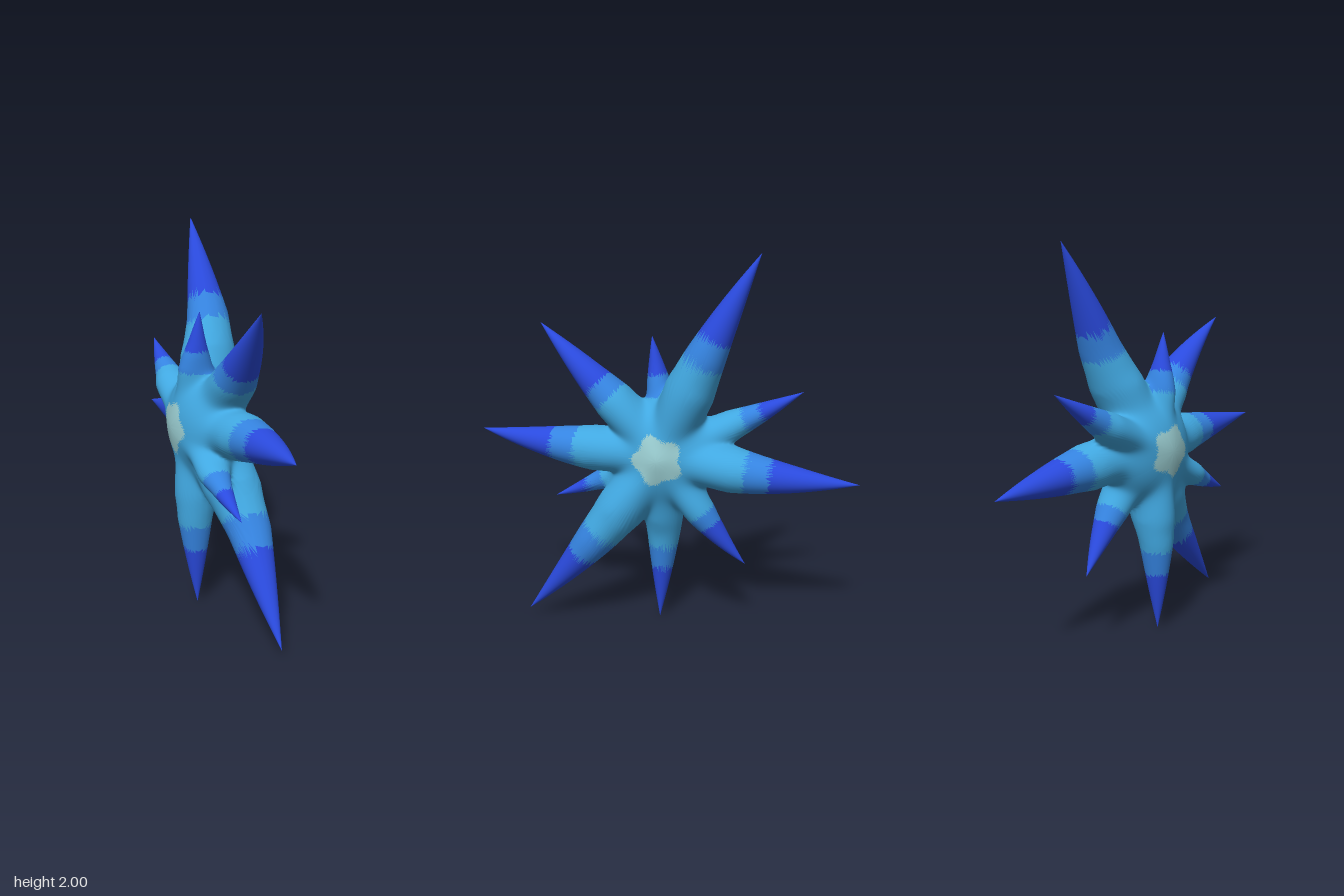
import * as THREE from 'three';
import { mergeVertices } from 'three/addons/utils/BufferGeometryUtils.js';

const CY = 0.98; // height of the star's centre
// Spikes in order around the star: tip x, y, z, thickness, bulge in x,
// bow within the star's plane, extra root depth, tip and band colour starts
const spikes = [
  [0.01, 1.05, 0.995, 0.98, 0.042, -0.012, 0.15, 0.58, 0.45],
  [0.00, 1.63, 0.65, 0.9, 0.045, 0.012, 0.3, 0.53, 0.43],
  [-0.07, 1.57, 0.08, 0.72, -0.008, 0, 0.8, 0.67, 0.49],
  [0.09, 2.00, -0.485, 1.02, 0, -0.02, 0.35, 0.59, 0.47],
  [-0.06, 1.32, -0.695, 0.76, -0.01, 0.018, 0.8, 0.7, 0.58],
  [0.01, 0.88, -0.995, 0.98, 0.042, 0.018, 0.15, 0.56, 0.44],
  [0.00, 0.395, -0.435, 0.78, 0.035, 0.018, 0.35, 0.61, 0.5],
  [-0.07, 0.00, 0.04, 0.87, -0.005, 0, 0.6, 0.68, 0.55],
  [0.09, 0.05, 0.745, 1.02, 0, -0.02, 0.35, 0.59, 0.45],
  [-0.07, 0.67, 0.625, 0.66, -0.01, -0.02, 0.8, 0.71, 0.56],
].map(([x, y, z, k, bulge, bow, rootDepth, tipStart, bandStart]) => {
  const len = Math.hypot(y - CY, z);
  return { x, k, bulge, bow, rootDepth, tipStart, bandStart, len,
    cz: z / len, cy: (y - CY) / len, angle: Math.atan2(y - CY, z) };
});

// Distance to one spike: a tapered, slightly bent oval cone, deeper in x near its root
function spikeDistance(s, x, y, z) {
  const r = z * s.cz + y * s.cy;
  const along = Math.max(r, 0);
  const q = along / s.len;
  const u = 1 - q;
  const arch = 4 * q * u;
  const t = y * s.cz - z * s.cy - s.bow * arch;
  const root = 0.55 + 0.45 * Math.min(1, along / 0.37);
  const h = 0.2 * s.k * u * (1.2 - 0.4 * u) * root;
  const depth = 1.08 + s.rootDepth * Math.max(0, 1 - along / 0.45);
  const axisX = s.x * Math.min(1, q / 0.5) + s.bulge * arch;
  return Math.hypot(t, (x - axisX) / depth, Math.min(r, 0)) - h;
}

// Smoothly blended distance to the core and all spikes, about the centre
const BLEND = 0.016;
function field(x, y, z) {
  const core = (Math.hypot((x + 0.014) / 0.182, y / 0.27, z / 0.27) - 1) * 0.2;
  let sum = Math.exp(-core / BLEND);
  for (const s of spikes) sum += Math.exp(-spikeDistance(s, x, y, z) / BLEND);
  return -BLEND * Math.log(sum);
}

// Surface point in a direction from the centre
function surfacePoint(dir) {
  const at = (r) => field(dir.x * r, dir.y * r, dir.z * r);
  let hi = 1.2;
  while (hi > 0.05 && at(hi - 0.01) > 0) hi -= 0.01;
  let lo = hi - 0.01;
  for (let i = 0; i < 10; i++) {
    const mid = (lo + hi) / 2;
    if (at(mid) > 0) hi = mid; else lo = mid;
  }
  return dir.clone().multiplyScalar(lo);
}

const direction = (angle, lat) => new THREE.Vector3(
  Math.sin(lat), Math.cos(lat) * Math.sin(angle), Math.cos(lat) * Math.cos(angle));

// Colour slot of a surface point: 0 body, 1 band, 2 tip, 3 centre patch
function colourAt(p) {
  const theta = Math.atan2(p.y, p.z);
  const patch = 0.122 + 0.014 * Math.cos(5 * theta + 0.3);
  if (Math.hypot(p.y, p.z) < patch && Math.abs(p.x) > 0.08) return 3;
  let nearest = spikes[0], best = Infinity;
  for (const s of spikes) {
    const d = spikeDistance(s, p.x, p.y, p.z);
    if (d < best) { best = d; nearest = s; }
  }
  const q = (p.z * nearest.cz + p.y * nearest.cy) / nearest.len;
  return q > nearest.tipStart ? 2 : q > nearest.bandStart ? 1 : 0;
}

function createStarGeometry() {
  const ROWS = 40, SIDE = 28;
  const buckets = [[], [], [], []];
  const ab = new THREE.Vector3(), ac = new THREE.Vector3(), mid = new THREE.Vector3();

  const addTriangle = (a, b, c) => {
    ab.subVectors(b, a);
    ac.subVectors(c, a);
    mid.copy(a).add(b).add(c).divideScalar(3);
    const normal = ab.cross(ac);
    if (normal.lengthSq() < 1e-16) return;
    const bucket = buckets[colourAt(mid)];
    const order = normal.dot(mid) > 0 ? [a, b, c] : [a, c, b];
    for (const p of order) bucket.push(p.x, p.y, p.z);
  };

  spikes.forEach((s, i) => {
    // Sector edges halfway to the neighbouring spikes
    const n = spikes.length;
    const gap = (o) => {
      const d = o.angle - s.angle;
      return Math.atan2(Math.sin(d), Math.cos(d));
    };
    const edgeA = s.angle + gap(spikes[(i + 1) % n]) / 2;
    const edgeB = s.angle + gap(spikes[(i + n - 1) % n]) / 2;
    const rim = [];
    for (let j = 0; j < SIDE; j++) rim.push(direction(edgeA, Math.PI * (0.5 - j / SIDE)));
    for (let j = 0; j < SIDE; j++) rim.push(direction(edgeB, Math.PI * (-0.5 + j / SIDE)));

    // Rows run from the tip out to the sector's rim
    const tip = new THREE.Vector3(s.x, s.cy * s.len, s.cz * s.len);
    const axis = tip.clone().normalize();
    const rows = [];
    for (let r = 0; r <= ROWS; r++) {
      const t = Math.pow(r / ROWS, 1.5);
      rows.push(rim.map((edge) => r === 0 ? tip
        : surfacePoint(axis.clone().lerp(edge, t).normalize())));
    }
    for (let r = 0; r < ROWS; r++) {
      for (let j = 0; j < rim.length; j++) {
        const k = (j + 1) % rim.length;
        addTriangle(rows[r][j], rows[r + 1][j], rows[r + 1][k]);
        addTriangle(rows[r][j], rows[r + 1][k], rows[r][k]);
      }
    }
  });

  let geometry = new THREE.BufferGeometry();
  geometry.setAttribute('position', new THREE.Float32BufferAttribute(buckets.flat(), 3));
  geometry = mergeVertices(geometry, 1e-4);
  let start = 0;
  buckets.forEach((b, i) => {
    geometry.addGroup(start, b.length / 3, i);
    start += b.length / 3;
  });
  geometry.computeVertexNormals();
  return geometry;
}

export function createModel() {
  const material = (name, color) => {
    const m = new THREE.MeshStandardMaterial({ color });
    m.name = name;
    return m;
  };
  const materials = [
    material('sky blue body', 0x41a8e1),
    material('mid blue band', 0x3584e1),
    material('deep blue tip', 0x2a4ade),
    material('pale centre', 0x9cd0d4),
  ];
  const star = new THREE.Mesh(createStarGeometry(), materials);
  star.name = 'spikyStar';
  star.position.y = CY;
  const group = new THREE.Group();
  group.name = 'star';
  group.add(star);
  return group;
}
